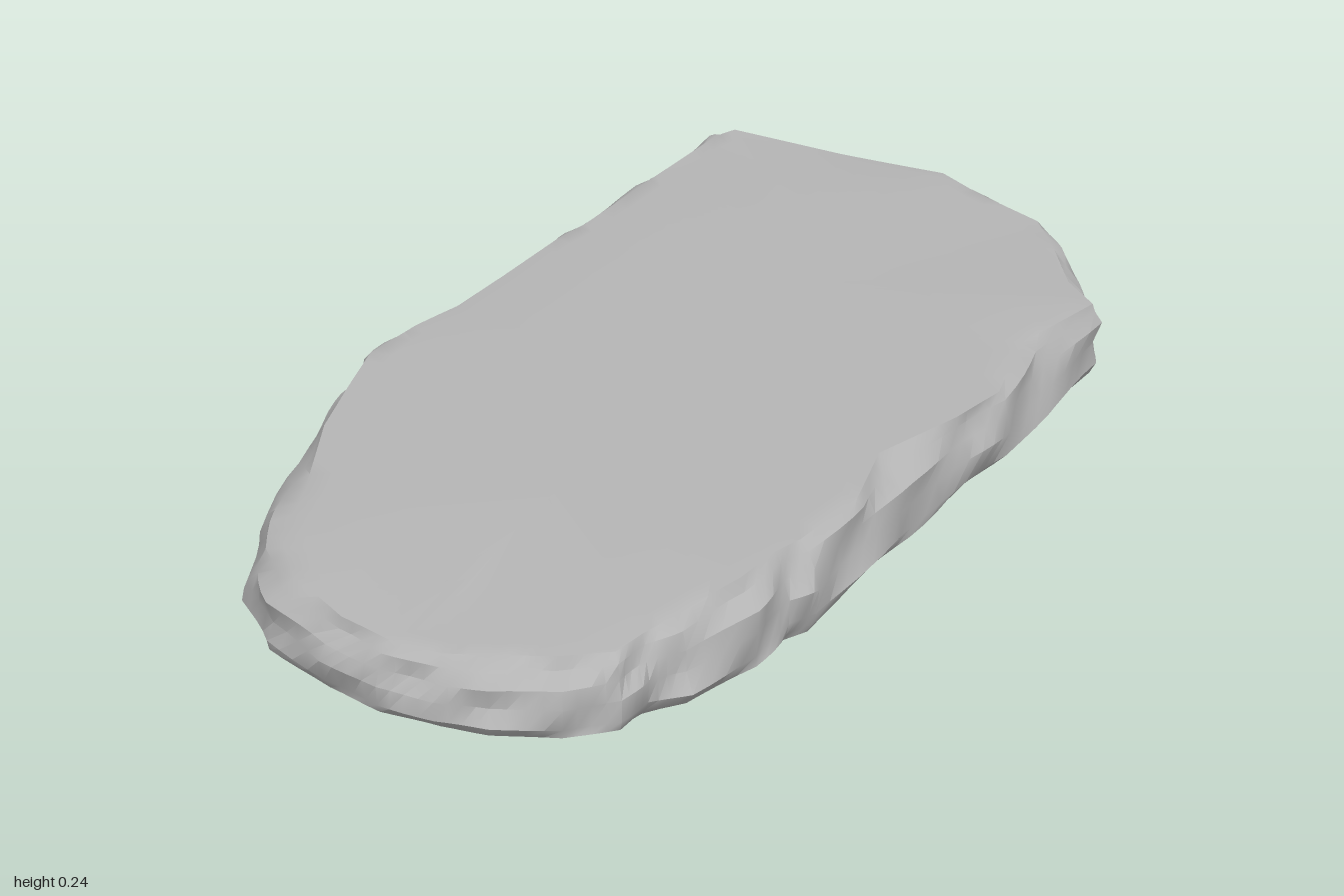
import * as THREE from 'three';
import { toCreasedNormals } from 'three/addons/utils/BufferGeometryUtils.js';

// Outline from above, clockwise: x, z, top chip width, underside chip width
const OUTLINE = [
  [-0.47, -0.98, 0.07, 0.13], [-0.41, -0.995, 0.02, 0.1], [-0.15, -0.99, 0.02, 0.05], [0.08, -1, 0.02, 0.05],
  [0.2, -0.97, 0.05, 0.06], [0.36, -0.89, 0.04, 0.05], [0.45, -0.79, 0.05, 0.04], [0.53, -0.67, 0.05, 0.05],
  [0.58, -0.59, 0.02, 0.07], [0.57, -0.4, 0.07, 0.06], [0.57, -0.2, 0.03, 0.1], [0.54, -0.08, 0.03, 0.08],
  [0.52, 0.1, 0.08, 0.05], [0.5, 0.25, 0.03, 0.04], [0.49, 0.42, 0.05, 0.03], [0.46, 0.47, 0.04, 0.03],
  [0.46, 0.58, 0.06, 0.04], [0.41, 0.73, 0.06, 0.05], [0.36, 0.78, 0.03, 0.04], [0.35, 0.85, 0.04, 0.05],
  [0.28, 0.92, 0.06, 0.05], [0.17, 0.97, 0.06, 0.05], [0.08, 0.99, 0.05, 0.05], [-0.03, 0.995, 0.05, 0.05],
  [-0.15, 0.97, 0.05, 0.05], [-0.3, 0.91, 0.06, 0.04], [-0.4, 0.82, 0.07, 0.04], [-0.47, 0.68, 0.09, 0.05],
  [-0.53, 0.45, 0.05, 0.07], [-0.55, 0.3, 0.03, 0.12], [-0.58, 0.18, 0.03, 0.15], [-0.56, 0.05, 0.03, 0.15],
];
const OUTLINE_END = [
  [-0.52, -0.05, 0.02, 0.12], [-0.515, -0.2, 0.03, 0.1], [-0.49, -0.38, 0.02, 0.1],
  [-0.51, -0.48, 0.06, 0.12], [-0.5, -0.7, 0.07, 0.13], [-0.48, -0.8, 0.06, 0.13],
];

// Piecewise-linear heights along the slab, which rises gently to the back
const TOP = [[-1, 0.243], [-0.5, 0.23], [0, 0.212], [0.6, 0.183], [0.9, 0.158], [1, 0.145]];
const BOTTOM = [[-1, 0.068], [-0.5, 0.058], [0, 0.036], [0.5, 0.012], [0.8, 0.005], [1, 0.014]];
function along(table, z) {
  for (let i = 1; i < table.length; i++) {
    const [z0, y0] = table[i - 1], [z1, y1] = table[i];
    if (z <= z1) return THREE.MathUtils.lerp(y0, y1, (z - z0) / (z1 - z0));
  }
  return table[table.length - 1][1];
}

// Cross-section from the underside to the upper face:
// chip: share of the chip width, side: which chip, h: height share, core: pull to the spine
const SECTION = [
  { chip: 1, side: 3, h: 0, core: 1 },
  { chip: 1, side: 3, h: 0, core: 0.5 },
  { chip: 1.1, side: 3, h: 0, core: 0.08 },
  { chip: 1, side: 3, h: 0.02, core: 0 },
  { chip: 0.3, side: 3, h: 0.15, core: 0 },
  { chip: 0, side: 3, h: 0.3, core: 0 },
  { chip: 0.05, side: 2, h: 0.55, core: 0 },
  { chip: 0.2, side: 2, h: 0.76, core: 0 },
  { chip: 0.55, side: 2, h: 0.91, core: 0 },
  { chip: 1, side: 2, h: 0.99, core: 0 },
  { chip: 1.1, side: 2, h: 1, core: 0.07 },
  { chip: 1, side: 2, h: 1, core: 0.5 },
  { chip: 1, side: 2, h: 1, core: 1 },
];

function slabGeometry() {
  const points = [...OUTLINE, ...OUTLINE_END];
  const n = points.length, steps = 4, count = n * steps;
  const positions = [], index = [];

  SECTION.forEach((s, r) => {
    for (let i = 0; i < count; i++) {
      const a = points[Math.floor(i / steps)], b = points[(Math.floor(i / steps) + 1) % n];
      const t = (i % steps) / steps;
      const mix = (k) => THREE.MathUtils.lerp(a[k], b[k], t);
      const x = mix(0), z = mix(1);
      const spineZ = z * 0.6;
      const reach = Math.hypot(x, z - spineZ);

      // uneven, broken rim
      const rim = 1 - s.core;
      const rough = s.h > 0.02 && s.h < 0.99
        ? 0.006 * (Math.sin(i * 0.83 + r * 1.7) + Math.sin(i * 0.37 - r * 2.3) - 1) : 0;
      const inset = s.chip * mix(s.side) - rough;
      const k = Math.max(0, 1 - inset / reach) * rim;
      const px = x * k, pz = spineZ + (z - spineZ) * k;

      const low = along(BOTTOM, pz), high = along(TOP, pz);
      const ripple = s.core > 0 && s.core < 1 ? 0.002 * Math.sin(px * 9 + pz * 5) : rough * 0.5;
      positions.push(px, Math.max(0, low + (high - low) * s.h + ripple), pz);

      if (r < SECTION.length - 1) {
        const j = (i + 1) % count, p = r * count;
        index.push(p + j, p + i, p + count + i, p + j, p + count + i, p + count + j);
      }
    }
  });

  const geometry = new THREE.BufferGeometry();
  geometry.setAttribute('position', new THREE.Float32BufferAttribute(positions, 3));
  geometry.setIndex(index);
  return toCreasedNormals(geometry, 0.6);
}

export function createModel() {
  const stone = new THREE.MeshStandardMaterial({ color: 0xb4b4b4 });
  stone.name = 'greyStone';

  const slab = new THREE.Mesh(slabGeometry(), stone);
  slab.name = 'stoneSlab';

  const model = new THREE.Group();
  model.name = 'flatRock';
  model.add(slab);
  return model;
}
